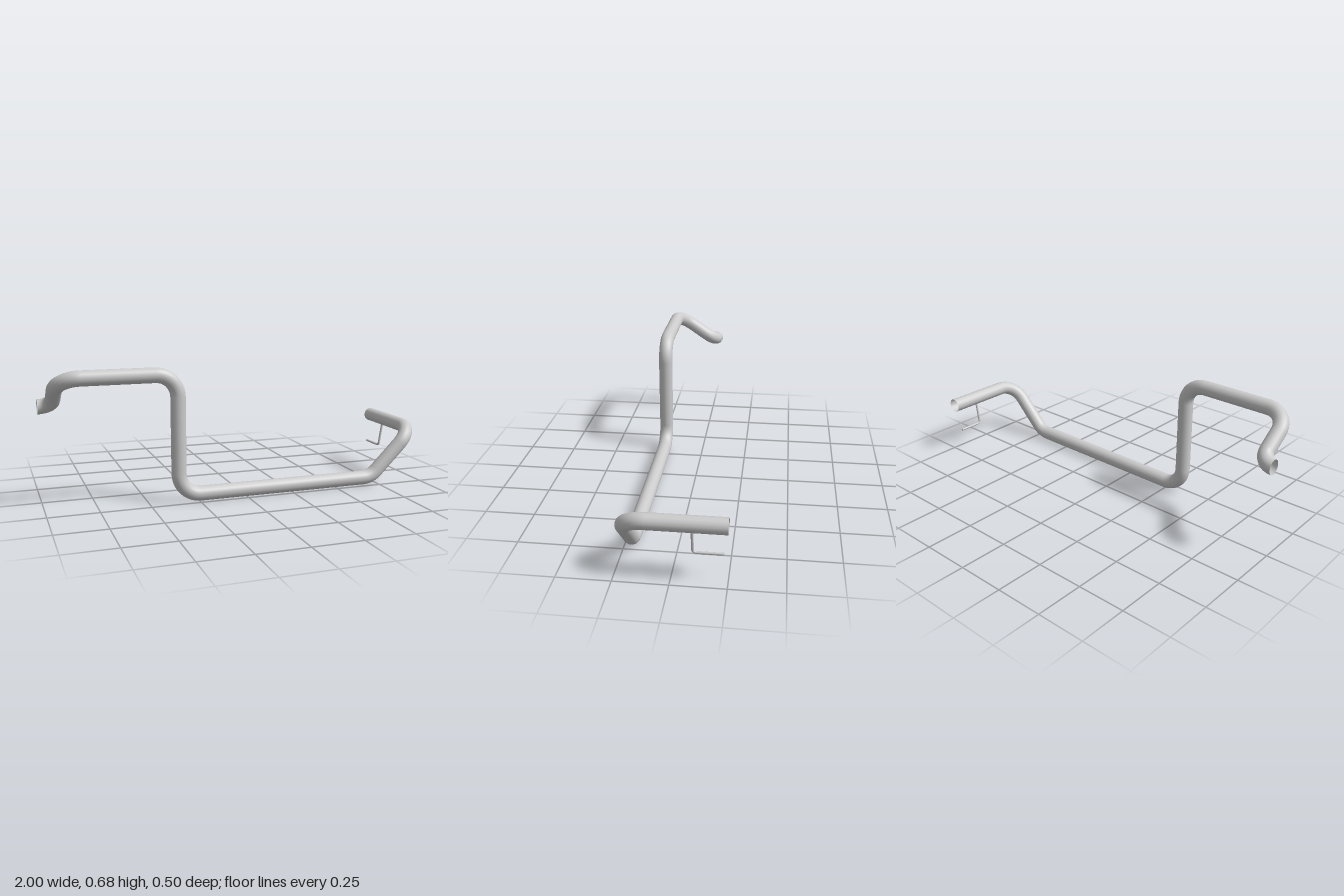
import * as THREE from 'three';

const SIDES = 16;
const V = (x, y, z) => new THREE.Vector3(x, y, z);

// Stations (point + tangent) along a polyline whose corners become circular bends
function roundedPath(corners, radius, steps) {
  const out = [];
  const last = corners.length - 1;
  const dir = (i) => corners[i + 1].clone().sub(corners[i]).normalize();
  out.push({ p: corners[0], t: dir(0) });
  for (let i = 1; i < last; i++) {
    const a = dir(i - 1), b = dir(i);
    const angle = a.angleTo(b);
    const start = corners[i].clone().addScaledVector(a, -radius * Math.tan(angle / 2));
    const inward = b.clone().addScaledVector(a, -a.dot(b)).normalize();
    for (let k = 0; k <= steps; k++) {
      const s = angle * k / steps;
      out.push({
        p: start.clone().addScaledVector(a, radius * Math.sin(s))
          .addScaledVector(inward, radius * (1 - Math.cos(s))),
        t: a.clone().multiplyScalar(Math.cos(s)).addScaledVector(inward, Math.sin(s)),
      });
    }
  }
  out.push({ p: corners[last], t: dir(last - 1) });
  return out;
}

// Sweep a circle along the stations, carrying the frame without twist
function sweep(stations, r, sides = SIDES) {
  const pos = [], nor = [], idx = [];
  const first = stations[0].t;
  const n = (Math.abs(first.y) > 0.9 ? V(1, 0, 0) : V(0, 1, 0));
  n.addScaledVector(first, -n.dot(first)).normalize();
  stations.forEach(({ p, t }, i) => {
    if (i) n.applyQuaternion(new THREE.Quaternion().setFromUnitVectors(stations[i - 1].t, t));
    const b = t.clone().cross(n);
    for (let j = 0; j <= sides; j++) {
      const a = j / sides * Math.PI * 2;
      const d = n.clone().multiplyScalar(Math.cos(a)).addScaledVector(b, Math.sin(a));
      nor.push(d.x, d.y, d.z);
      pos.push(p.x + d.x * r, p.y + d.y * r, p.z + d.z * r);
      if (i && j) {
        const c = i * (sides + 1) + j, e = c - sides - 1;
        idx.push(e - 1, e, c - 1, e, c, c - 1);
      }
    }
  });
  const g = new THREE.BufferGeometry();
  g.setAttribute('position', new THREE.Float32BufferAttribute(pos, 3));
  g.setAttribute('normal', new THREE.Float32BufferAttribute(nor, 3));
  g.setIndex(idx);
  return g;
}

export function createModel() {
  const model = new THREE.Group();
  model.name = 'bentPipe';
  const material = new THREE.MeshStandardMaterial({ color: 0xcccccc, side: THREE.DoubleSide });
  const add = (name, geometry) => {
    const m = new THREE.Mesh(geometry, material);
    m.name = name;
    model.add(m);
    return m;
  };

  const R = 0.0375, BEND = 0.11, ELBOW = 0.071;
  const front = 0.2125, low = 0.04, high = 0.643;

  // Sloping inlet: an elbow, a short sleeve, then the long pipe
  const elbowCorner = V(-0.929, 0.482, -0.022);
  const topCorner = V(-0.929, high, front);
  const slope = topCorner.clone().sub(elbowCorner).normalize();
  const seamA = elbowCorner.clone().addScaledVector(slope, ELBOW);
  const seamB = topCorner.clone().addScaledVector(slope, -BEND);

  add('inletElbow', sweep(roundedPath([V(-1, 0.482, -0.022), elbowCorner, seamA], ELBOW, 8), R));
  add('inletSleeve', sweep([{ p: seamA, t: slope }, { p: seamB, t: slope }], R));
  add('mainPipe', sweep(roundedPath([
    seamB,
    topCorner,
    V(-0.353, high, front),
    V(-0.353, low, front),
    V(0.7125, low, front),
    V(0.9625, 0.29, front),
    V(0.9625, 0.29, -0.25),
  ], BEND, 10), R));

  // Thin hanger rod under the outlet, closed at its free end
  const rod = 0.0062;
  add('hangerRod', sweep(roundedPath([
    V(0.957, 0.262, -0.095),
    V(0.937, 0.135, -0.095),
    V(0.937, 0.135, -0.23),
  ], 0.016, 4), rod, 10));
  const cap = add('hangerRodEnd', new THREE.CircleGeometry(rod, 10));
  cap.position.set(0.937, 0.135, -0.23);
  cap.rotation.y = Math.PI;

  return model;
}
